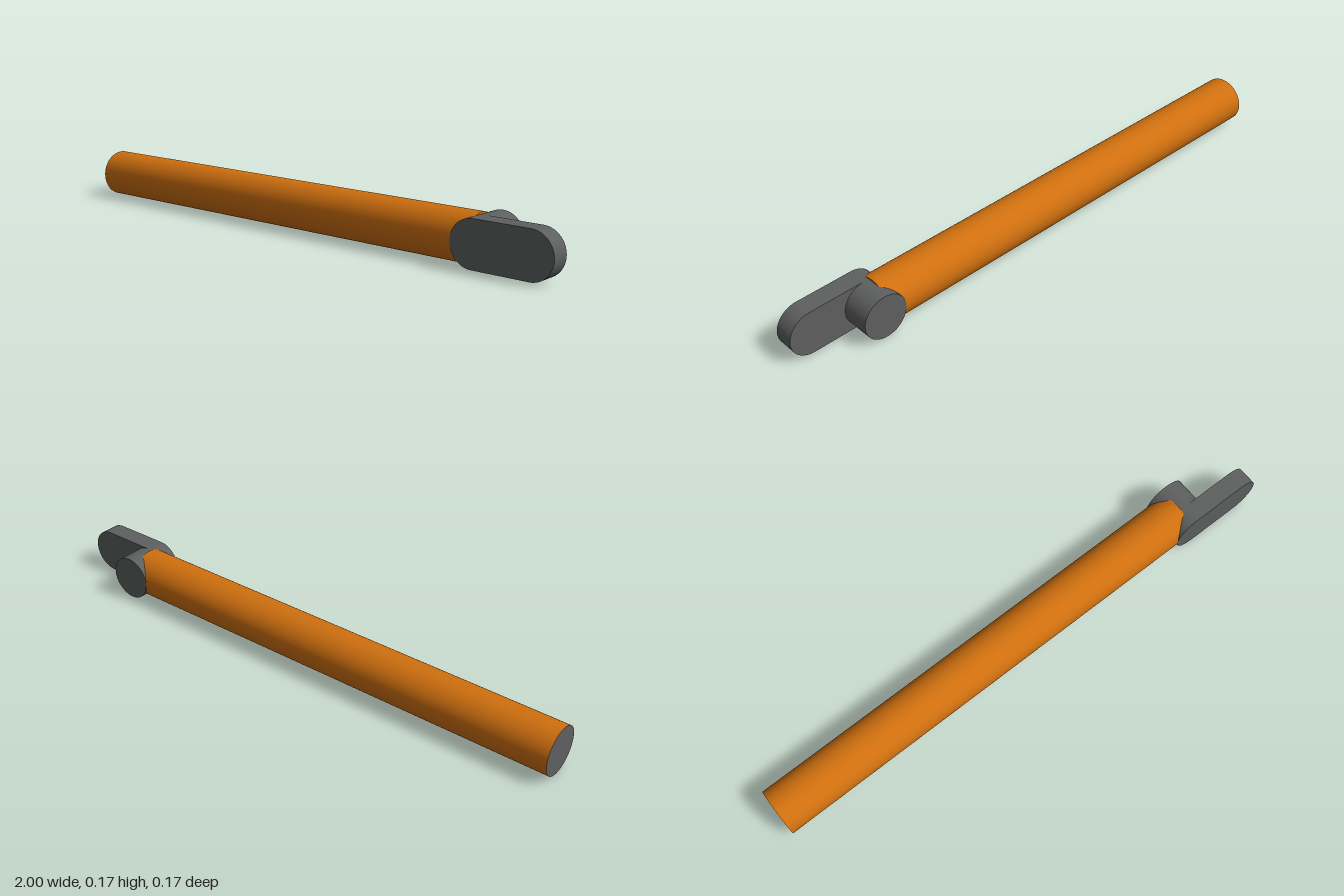
import * as THREE from 'three';

const AXIS_Y = 0.0835;   // height of the rod axis
const ROD_R = 0.0835;
const HINGE_R = 0.079;
const HINGE_X = 0.72;
const LINK_BACK = 0.016; // z where the link plate meets the pivot

export function createModel() {
  const model = new THREE.Group();
  const orange = new THREE.MeshStandardMaterial({ color: 0xd0700f });
  const grey = new THREE.MeshStandardMaterial({ color: 0x5e605f });

  const add = (name, geometry, material) => {
    const mesh = new THREE.Mesh(geometry, material);
    mesh.name = name;
    model.add(mesh);
  };

  // Round rod along x, with a grey cap on its free end
  const rodEnd = 0.7;
  const rod = new THREE.CylinderGeometry(ROD_R, ROD_R, rodEnd + 1, 64);
  rod.rotateZ(-Math.PI / 2).translate((rodEnd - 1) / 2, AXIS_Y, 0);
  add('rod', rod, [orange, orange, grey]);

  // Pivot barrel crossing the rod end, behind the link plate
  const pivotLength = LINK_BACK + ROD_R;
  const pivot = new THREE.CylinderGeometry(HINGE_R, HINGE_R, pivotLength, 64);
  pivot.rotateX(Math.PI / 2).translate(HINGE_X, AXIS_Y, (LINK_BACK - ROD_R) / 2);
  add('pivotBarrel', pivot, grey);

  // Link plate with two round ends
  const outline = new THREE.Shape();
  outline.absarc(1 - HINGE_R, 0, HINGE_R, -Math.PI / 2, Math.PI / 2, false);
  outline.absarc(HINGE_X, 0, HINGE_R, Math.PI / 2, Math.PI * 1.5, false);
  outline.closePath();
  const link = new THREE.ExtrudeGeometry(outline, {
    depth: ROD_R - LINK_BACK, bevelEnabled: false, curveSegments: 32,
  });
  link.translate(0, AXIS_Y, LINK_BACK);
  add('linkPlate', link, grey);

  return model;
}
